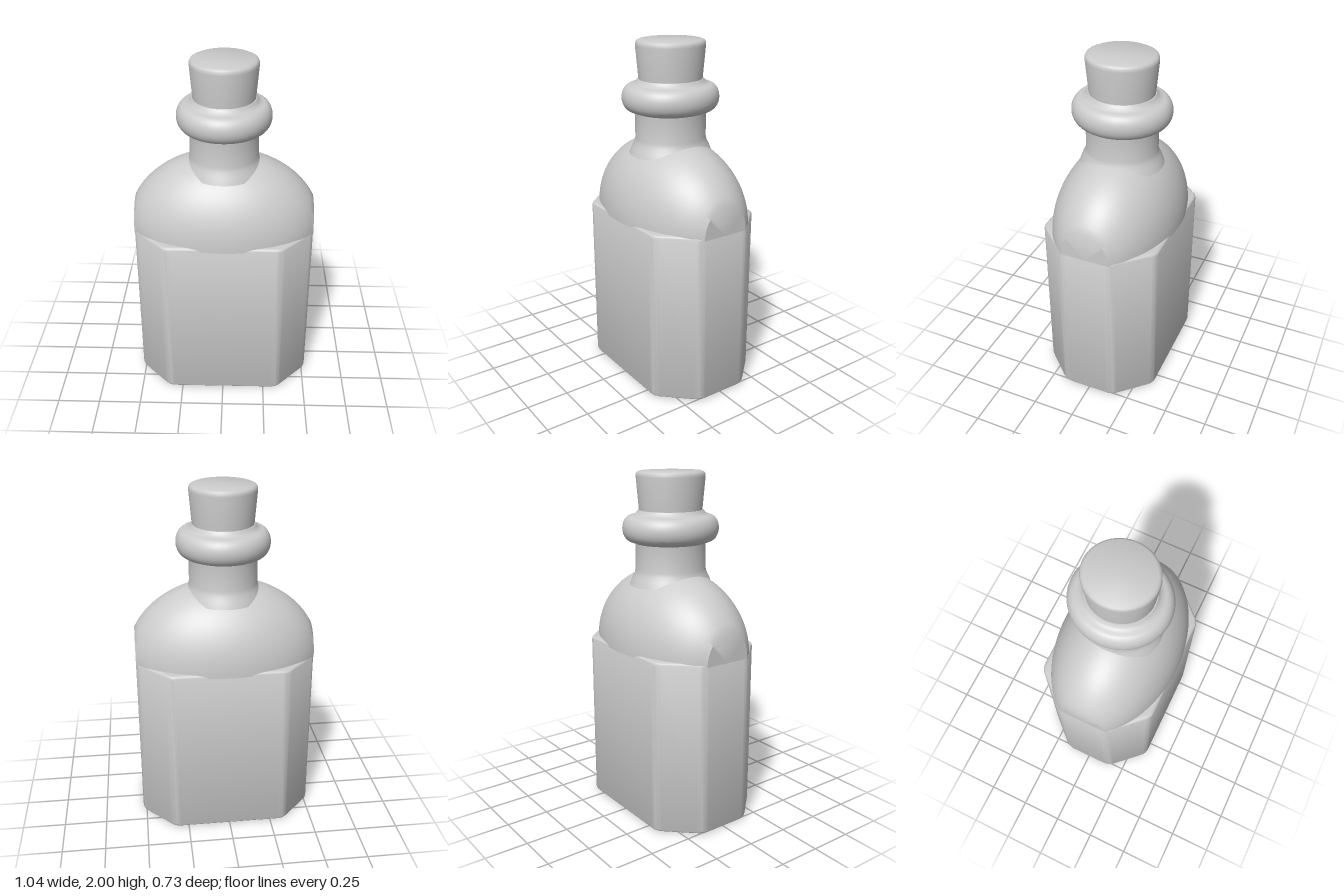
import * as THREE from 'three';
import { toCreasedNormals } from 'three/addons/utils/BufferGeometryUtils.js';

const material = new THREE.MeshStandardMaterial({ color: 0xcccccc, side: THREE.DoubleSide });
const DEPTH_STRETCH = 1.055; // neck parts are slightly deeper than wide

function addMesh(group, name, geometry, crease = 0.6) {
  const mesh = new THREE.Mesh(toCreasedNormals(geometry, crease), material);
  mesh.name = name;
  group.add(mesh);
  return mesh;
}

// Closed polygon with each corner softened by a quadratic curve
function roundedPolygon(corners, r) {
  const shape = new THREE.Shape();
  corners.forEach((c, i) => {
    const prev = corners[(i + corners.length - 1) % corners.length];
    const next = corners[(i + 1) % corners.length];
    const a = c.clone().add(prev.clone().sub(c).setLength(r));
    const b = c.clone().add(next.clone().sub(c).setLength(r));
    if (i === 0) shape.moveTo(a.x, a.y);
    else shape.lineTo(a.x, a.y);
    shape.quadraticCurveTo(c.x, c.y, b.x, b.y);
  });
  shape.closePath();
  return shape;
}

function lathe(points) {
  return new THREE.LatheGeometry(points.map(([r, y]) => new THREE.Vector2(r, y)), 64)
    .scale(1, 1, DEPTH_STRETCH);
}

export function createModel() {
  const bottle = new THREE.Group();
  bottle.name = 'bottle';

  // Body: octagonal prism with softened edges
  const bevel = 0.02, height = 1.02;
  const X = 0.52 - bevel, Z = 0.355 - bevel, cx = 0.323, cz = 0.147;
  const corners = [[X, -cz], [X, cz], [cx, Z], [-cx, Z], [-X, cz], [-X, -cz], [-cx, -Z], [cx, -Z]]
    .map(([x, z]) => new THREE.Vector2(x, z));
  const body = new THREE.ExtrudeGeometry(roundedPolygon(corners, 0.03), {
    depth: height - 2 * bevel, bevelSize: bevel, bevelThickness: bevel, bevelSegments: 4, curveSegments: 5,
  });
  body.rotateX(-Math.PI / 2).translate(0, bevel, 0);
  addMesh(bottle, 'body', body);

  // Shoulder: half ellipsoid with its two ends cut flat, flush with the body
  const rx = 0.565, cut = 0.52, profile = [new THREE.Vector2(0, -cut)];
  for (let i = 0; i <= 48; i++) {
    const t = -cut + (2 * cut * i) / 48;
    profile.push(new THREE.Vector2(Math.sqrt(1 - (t / rx) ** 2), t));
  }
  profile.push(new THREE.Vector2(0, cut));
  const shoulder = new THREE.LatheGeometry(profile, 48, 0, Math.PI);
  shoulder.rotateZ(Math.PI / 2).scale(1, 0.455, 0.364).translate(0, 1, 0);
  addMesh(bottle, 'shoulder', shoulder);

  // Neck with a small flare into the shoulder
  addMesh(bottle, 'neck', lathe([
    [0.23, 1.36], [0.215, 1.4], [0.202, 1.425], [0.196, 1.45], [0.195, 1.6], [0.2, 1.64],
  ]));

  // Lip: rounded collar around the mouth
  const lip = [[0.19, 1.595], [0.205, 1.605]];
  for (let i = 0; i <= 16; i++) {
    const a = -Math.PI / 2 + (Math.PI * i) / 16;
    lip.push([0.215 + 0.052 * Math.cos(a), 1.682 + 0.074 * Math.sin(a)]);
  }
  lip.push([0.197, 1.762], [0.187, 1.775], [0.18, 1.785], [0, 1.785]);
  addMesh(bottle, 'lip', lathe(lip), 0.9);

  // Stopper: tapered cork with a rounded top edge
  addMesh(bottle, 'stopper', lathe([
    [0, 1.7], [0.17, 1.7], [0.174, 1.78], [0.19, 1.97], [0.189, 1.983], [0.184, 1.994], [0.172, 2], [0, 2],
  ]), 0.8);

  return bottle;
}
